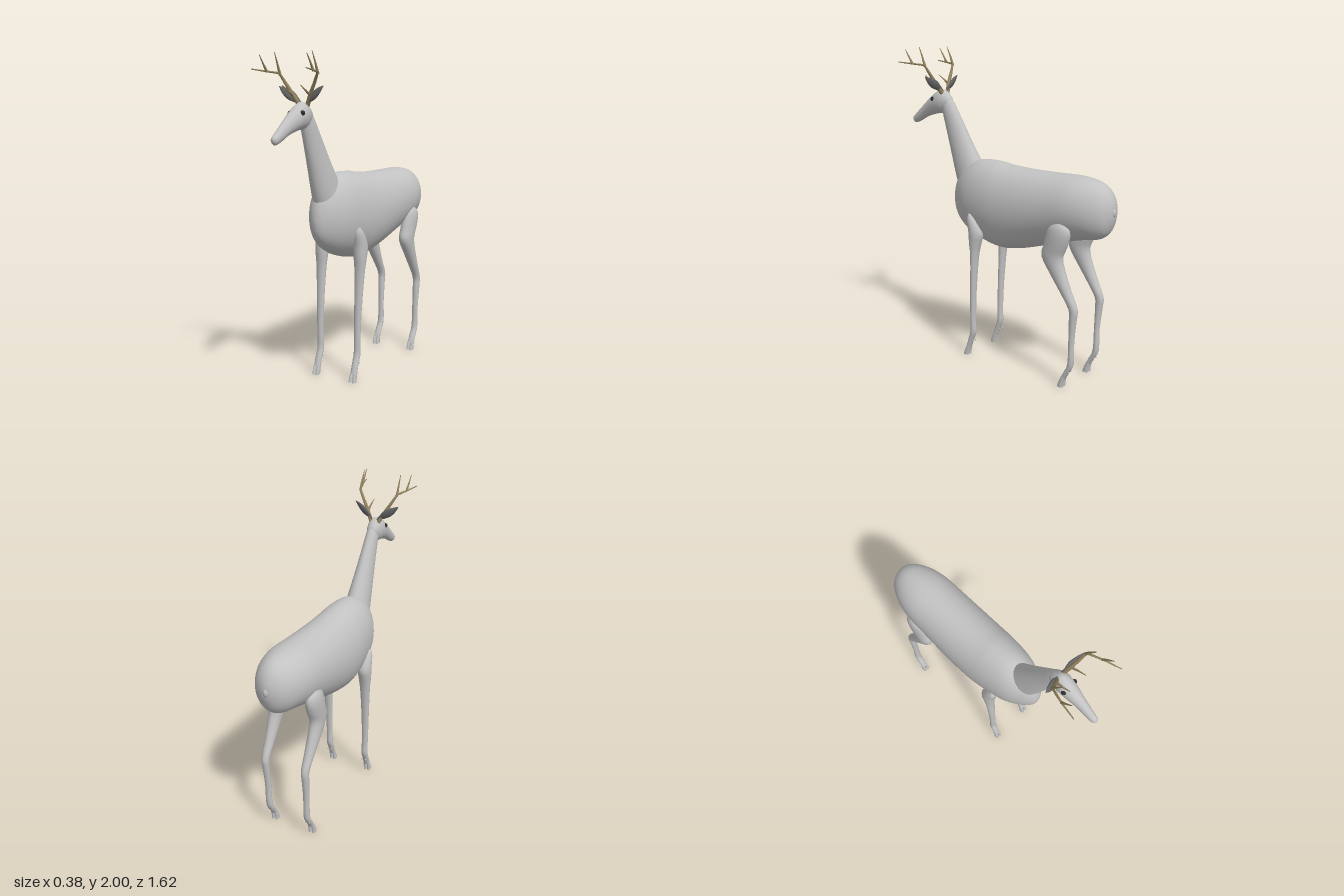
import * as THREE from 'three';

const V = (x, y, z) => new THREE.Vector3(x, y, z);
const coat = new THREE.MeshStandardMaterial({ color: 0xc2c2c2 });
const earGrey = new THREE.MeshStandardMaterial({ color: 0x666666 });
const antlerTan = new THREE.MeshStandardMaterial({ color: 0x93835f });
const eyeDark = new THREE.MeshStandardMaterial({ color: 0x2c2c2c });

// Smoothly resample rows of numbers with a Catmull-Rom blend
function smooth(rows, steps = 4) {
  const out = [];
  const at = i => rows[Math.min(Math.max(i, 0), rows.length - 1)];
  for (let i = 0; i < rows.length - 1; i++) {
    for (let s = 0; s < steps; s++) {
      const t = s / steps;
      out.push(rows[i].map((_, k) => {
        const [a, b, c, d] = [at(i - 1)[k], at(i)[k], at(i + 1)[k], at(i + 2)[k]];
        return b + 0.5 * t * (c - a + t * (2 * a - 5 * b + 4 * c - d + t * (3 * (b - c) + d - a)));
      }));
    }
  }
  out.push(rows[rows.length - 1]);
  return out;
}

// Skin elliptical rings { c: centre, u, v: half axes } into a closed form
function loft(name, rings, material, n = 20) {
  const pos = [], idx = [];
  for (const { c, u, v } of rings) {
    for (let j = 0; j < n; j++) {
      const a = (j / n) * Math.PI * 2;
      const p = c.clone().addScaledVector(u, Math.cos(a)).addScaledVector(v, Math.sin(a));
      pos.push(p.x, p.y, p.z);
    }
  }
  const last = rings.length - 1;
  const along = rings[last].c.clone().sub(rings[0].c);
  const mid = rings[last >> 1];
  const flip = mid.u.clone().cross(mid.v).dot(along) < 0;
  const tri = (a, b, c) => (flip ? idx.push(a, c, b) : idx.push(a, b, c));
  for (let i = 0; i < last; i++) {
    for (let j = 0; j < n; j++) {
      const k = (j + 1) % n, a = i * n, b = a + n;
      tri(a + j, a + k, b + j);
      tri(a + k, b + k, b + j);
    }
  }
  // End caps with their own vertices, so the rims stay crisp
  for (const [i, front] of [[0, true], [last, false]]) {
    const base = pos.length / 3;
    pos.push(...rings[i].c.toArray(), ...pos.slice(i * n * 3, (i + 1) * n * 3));
    for (let j = 0; j < n; j++) {
      const p = base + 1 + j, q = base + 1 + ((j + 1) % n);
      front ? tri(base, q, p) : tri(base, p, q);
    }
  }
  const g = new THREE.BufferGeometry();
  g.setAttribute('position', new THREE.Float32BufferAttribute(pos, 3));
  g.setIndex(idx);
  g.computeVertexNormals();
  const mesh = new THREE.Mesh(g, material);
  mesh.name = name;
  return mesh;
}

// Upright sections along z: [z, top, bottom, halfWidth]
const alongZ = (name, rows, n) => loft(name, smooth(rows).map(([z, t, b, w]) => (
  { c: V(0, (t + b) / 2, z), u: V(w, 0, 0), v: V(0, (t - b) / 2, 0) })), coat, n);

// Level sections along y: [y, z, x, halfDepth, halfWidth]
const alongY = (name, rows, side, n) => loft(name, smooth(rows, 3).map(([y, z, x, d, w]) => (
  { c: V(side * x, y, z), u: V(w, 0, 0), v: V(0, 0, d) })), coat, n);

// Tapered round rod through points
function rod(name, points, r0, r1) {
  const rings = points.map((p, i) => {
    const dir = points[Math.min(i + 1, points.length - 1)].clone().sub(points[Math.max(i - 1, 0)]).normalize();
    const u = V(1, 0, 0).addScaledVector(dir, -dir.x).normalize();
    const r = r0 + (r1 - r0) * i / (points.length - 1);
    return { c: p, u: u.clone().multiplyScalar(r), v: dir.clone().cross(u).multiplyScalar(r) };
  });
  return loft(name, rings, antlerTan, 8);
}

const bodyRows = [
  [0.41, 1.03, 1.01, 0.005], [0.40, 1.10, 0.95, 0.035], [0.37, 1.175, 0.895, 0.07],
  [0.32, 1.23, 0.85, 0.105], [0.25, 1.275, 0.81, 0.14], [0.17, 1.30, 0.78, 0.16],
  [0.05, 1.30, 0.753, 0.176], [-0.05, 1.287, 0.75, 0.182], [-0.2, 1.278, 0.78, 0.184],
  [-0.4, 1.277, 0.84, 0.18], [-0.55, 1.28, 0.885, 0.175], [-0.65, 1.27, 0.908, 0.155],
  [-0.72, 1.25, 0.922, 0.125], [-0.77, 1.21, 0.96, 0.09], [-0.8, 1.15, 1.03, 0.04],
  [-0.808, 1.10, 1.08, 0.006],
];
const headRows = [
  [0.455, 1.655, 1.64, 0.008], [0.47, 1.685, 1.61, 0.032], [0.52, 1.725, 1.572, 0.05],
  [0.57, 1.714, 1.566, 0.052], [0.62, 1.682, 1.555, 0.045], [0.68, 1.637, 1.535, 0.034],
  [0.74, 1.588, 1.505, 0.027], [0.785, 1.55, 1.49, 0.022], [0.803, 1.537, 1.50, 0.015],
  [0.81, 1.525, 1.512, 0.005],
];
const foreRows = [
  [0.968, 0.165, 0.152, 0.008, 0.012], [0.93, 0.152, 0.148, 0.035, 0.03],
  [0.85, 0.125, 0.142, 0.05, 0.044], [0.78, 0.13, 0.142, 0.04, 0.042],
  [0.68, 0.137, 0.142, 0.024, 0.034], [0.45, 0.152, 0.14, 0.019, 0.025],
  [0.25, 0.158, 0.138, 0.018, 0.021], [0.17, 0.157, 0.137, 0.02, 0.022],
  [0.11, 0.178, 0.137, 0.018, 0.022], [0.055, 0.197, 0.137, 0.016, 0.021],
];
const hindRows = [
  [1.022, -0.53, 0.148, 0.02, 0.015], [0.99, -0.527, 0.147, 0.066, 0.035],
  [0.94, -0.52, 0.145, 0.082, 0.045], [0.87, -0.499, 0.143, 0.08, 0.046],
  [0.8, -0.478, 0.142, 0.074, 0.044], [0.7, -0.525, 0.142, 0.054, 0.038],
  [0.6, -0.582, 0.141, 0.038, 0.031], [0.51, -0.632, 0.14, 0.029, 0.025],
  [0.44, -0.632, 0.14, 0.024, 0.023], [0.3, -0.623, 0.138, 0.017, 0.02],
  [0.16, -0.62, 0.137, 0.019, 0.021], [0.1, -0.592, 0.137, 0.018, 0.022],
  [0.055, -0.568, 0.137, 0.016, 0.021],
];

// Leg with a cloven hoof and a pair of dewclaws
function leg(name, rows, side) {
  const g = new THREE.Group();
  g.name = name;
  g.add(alongY('legShaft', rows, side, 14));
  const [y, z, x] = rows[rows.length - 1];
  for (const s of [-1, 1]) {
    const tx = x + s * 0.0125;
    g.add(alongY('toe', [[y + 0.02, z - 0.008, tx, 0.013, 0.009], [0.03, z + 0.008, tx, 0.018, 0.0105],
      [0, z + 0.014, tx, 0.022, 0.011]], side, 8));
    const claw = new THREE.Mesh(new THREE.SphereGeometry(0.006, 8, 6), coat);
    claw.name = 'dewclaw';
    claw.position.set(side * (x + s * 0.012), 0.11, z - 0.045);
    g.add(claw);
  }
  return g;
}

function antler(side) {
  const g = new THREE.Group();
  g.name = 'antler';
  const P = (x, y, z) => V(side * x, y, z);
  g.add(
    rod('mainBeam', [P(0.025, 1.70, 0.515), P(0.06, 1.765, 0.535), P(0.1, 1.83, 0.55),
      P(0.132, 1.885, 0.565), P(0.16, 1.893, 0.65), P(0.183, 1.902, 0.75)], 0.014, 0.003),
    rod('browTine', [P(0.058, 1.758, 0.53), P(0.062, 1.785, 0.58), P(0.062, 1.815, 0.63)], 0.009, 0.002),
    rod('middleTine', [P(0.13, 1.875, 0.56), P(0.13, 1.935, 0.583), P(0.128, 1.998, 0.612)], 0.009, 0.002),
    rod('frontTine', [P(0.158, 1.89, 0.645), P(0.16, 1.935, 0.675), P(0.16, 1.982, 0.708)], 0.008, 0.002),
  );
  return g;
}

// Leaf-shaped ear reaching out and up
function ear(side) {
  const rows = [[0.02, 1.715, 0.515, 0.008], [0.045, 1.735, 0.522, 0.018], [0.08, 1.76, 0.527, 0.028],
    [0.115, 1.785, 0.533, 0.022], [0.152, 1.812, 0.54, 0.002]];
  return loft('ear', smooth(rows).map(([x, y, z, w]) => ({
    c: V(side * x, y, z),
    u: V(-side * 0.5, 0.75, -0.45).normalize().multiplyScalar(w),
    v: V(side * 0.25, 0.4, 0.85).normalize().multiplyScalar(w * 0.55),
  })), earGrey, 12);
}

export function createModel() {
  const model = new THREE.Group();
  model.name = 'deer';
  model.add(alongZ('body', bodyRows, 40), alongZ('head', headRows, 24));

  // Neck: [z, y, halfDepth, halfWidth], tilted forward
  const neckRows = [[0.24, 1.09, 0.125, 0.085], [0.305, 1.225, 0.11, 0.072], [0.37, 1.365, 0.088, 0.058],
    [0.43, 1.50, 0.07, 0.046], [0.487, 1.625, 0.05, 0.038], [0.505, 1.665, 0.035, 0.03]];
  model.add(loft('neck', smooth(neckRows).map(([z, y, d, w]) => (
    { c: V(0, y, z), u: V(w, 0, 0), v: V(0, -0.43 * d, 0.903 * d) })), coat, 24));

  // Tail stub
  const tail = new THREE.Mesh(new THREE.SphereGeometry(1, 16, 12), coat);
  tail.name = 'tail';
  tail.scale.set(0.02, 0.03, 0.02);
  tail.position.set(0, 1.09, -0.795);
  model.add(tail);

  for (const side of [-1, 1]) {
    model.add(leg('frontLeg', foreRows, side), leg('hindLeg', hindRows, side), ear(side), antler(side));
    const eye = new THREE.Mesh(new THREE.SphereGeometry(0.015, 16, 12), eyeDark);
    eye.name = 'eye';
    eye.position.set(side * 0.042, 1.662, 0.586);
    model.add(eye);
  }
  return model;
}
